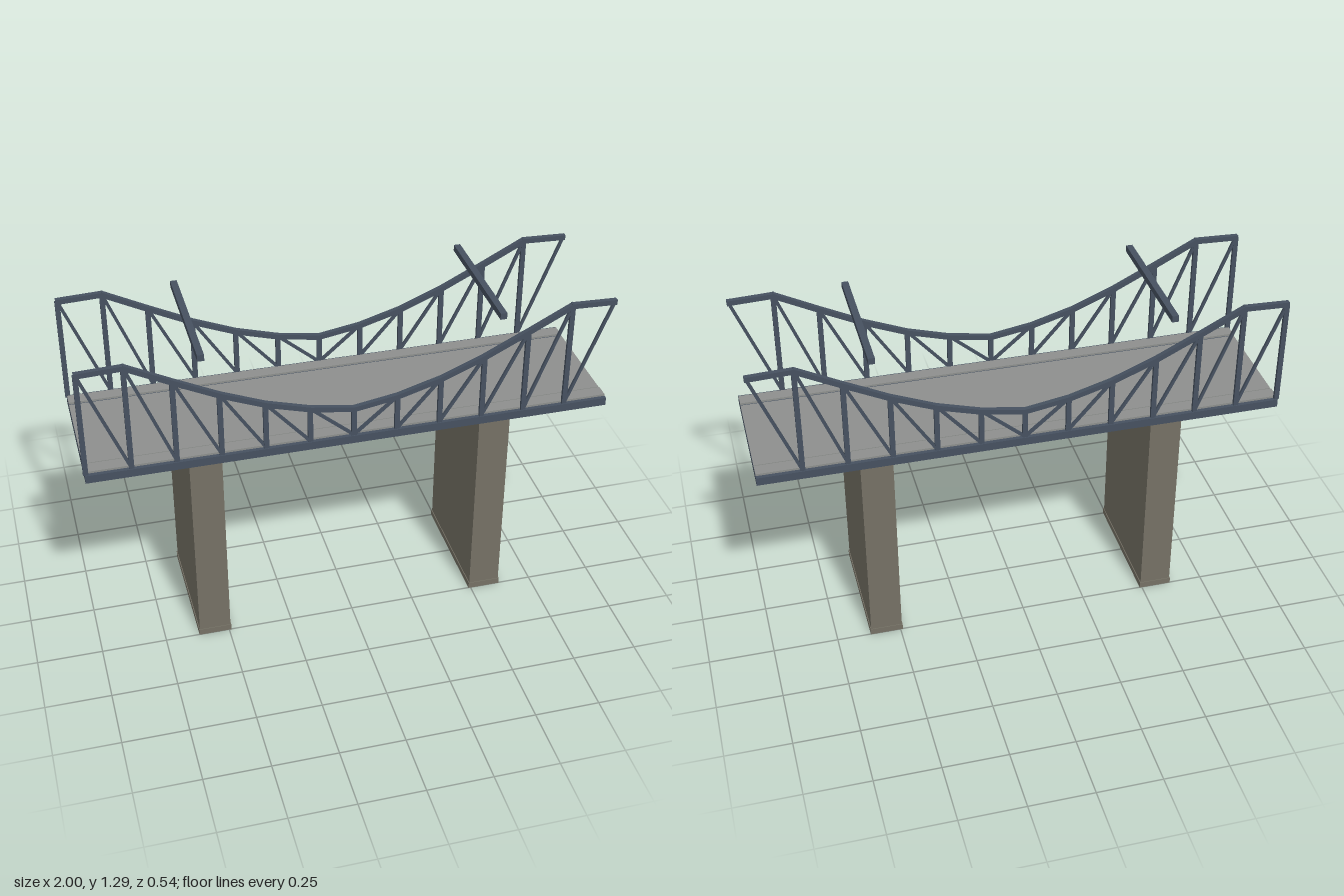
import * as THREE from 'three';

const steel = new THREE.MeshStandardMaterial({ color: 0x465160 });
steel.name = 'blue grey steel';
const concrete = new THREE.MeshStandardMaterial({ color: 0x757165 });
concrete.name = 'concrete';
const asphalt = new THREE.MeshStandardMaterial({ color: 0x8d8f8d });
asphalt.name = 'grey paving';

function box(parent, name, material, w, h, d, x, y, z) {
  const mesh = new THREE.Mesh(new THREE.BoxGeometry(w, h, d), material);
  mesh.name = name;
  mesh.position.set(x, y, z);
  parent.add(mesh);
  return mesh;
}

// Straight bar between two points of a truss plane
function bar(parent, name, a, b, thick, depth, extra = 0) {
  const dx = b[0] - a[0], dy = b[1] - a[1];
  const mesh = box(parent, name, steel, Math.hypot(dx, dy) + extra, thick, depth,
    (a[0] + b[0]) / 2, (a[1] + b[1]) / 2, 0);
  mesh.rotation.z = Math.atan2(dy, dx);
}

// Top chord heights from midspan to the ends
const heights = [0.969, 0.996, 1.044, 1.112, 1.194, 1.279, 1.273];
const STEP = 0.165, DECK = 0.854;

function makeTruss(z) {
  const truss = new THREE.Group();
  truss.name = 'sideTruss';
  truss.position.z = z;
  const top = i => [i * STEP, heights[Math.abs(i)]];
  const foot = i => [i * STEP, DECK];
  for (let i = -6; i < 6; i++) {
    bar(truss, 'topChord', top(i), top(i + 1), 0.02, 0.018, 0.012);
    bar(truss, 'vertical', foot(i), top(i), 0.019, 0.012);
    // Diagonals lean away from midspan
    if (i < 0) bar(truss, 'diagonal', top(i), foot(i + 1), 0.011, 0.01);
    else bar(truss, 'diagonal', foot(i), top(i + 1), 0.011, 0.01);
  }
  return truss;
}

export function createModel() {
  const bridge = new THREE.Group();
  bridge.name = 'bridge';

  // Deck with roadway and side walkways
  box(bridge, 'deck', steel, 1.988, 0.032, 0.54, 0, 0.838, 0);
  box(bridge, 'roadway', asphalt, 1.986, 0.005, 0.39, 0, 0.8555, 0);

  for (const s of [-1, 1]) {
    box(bridge, 'walkway', asphalt, 1.986, 0.009, 0.051, 0, 0.8575, s * 0.2295);
    bridge.add(makeTruss(s * 0.26));

    // Piers, footings and overhead cross beams
    box(bridge, 'pier', concrete, 0.122, 0.8, 0.498, s * 0.555, 0.423, 0);
    box(bridge, 'footing', concrete, 0.128, 0.025, 0.504, s * 0.555, 0.0125, 0);
    box(bridge, 'crossBeam', steel, 0.025, 0.025, 0.54, s * 0.555, 1.28, 0);
  }
  return bridge;
}
